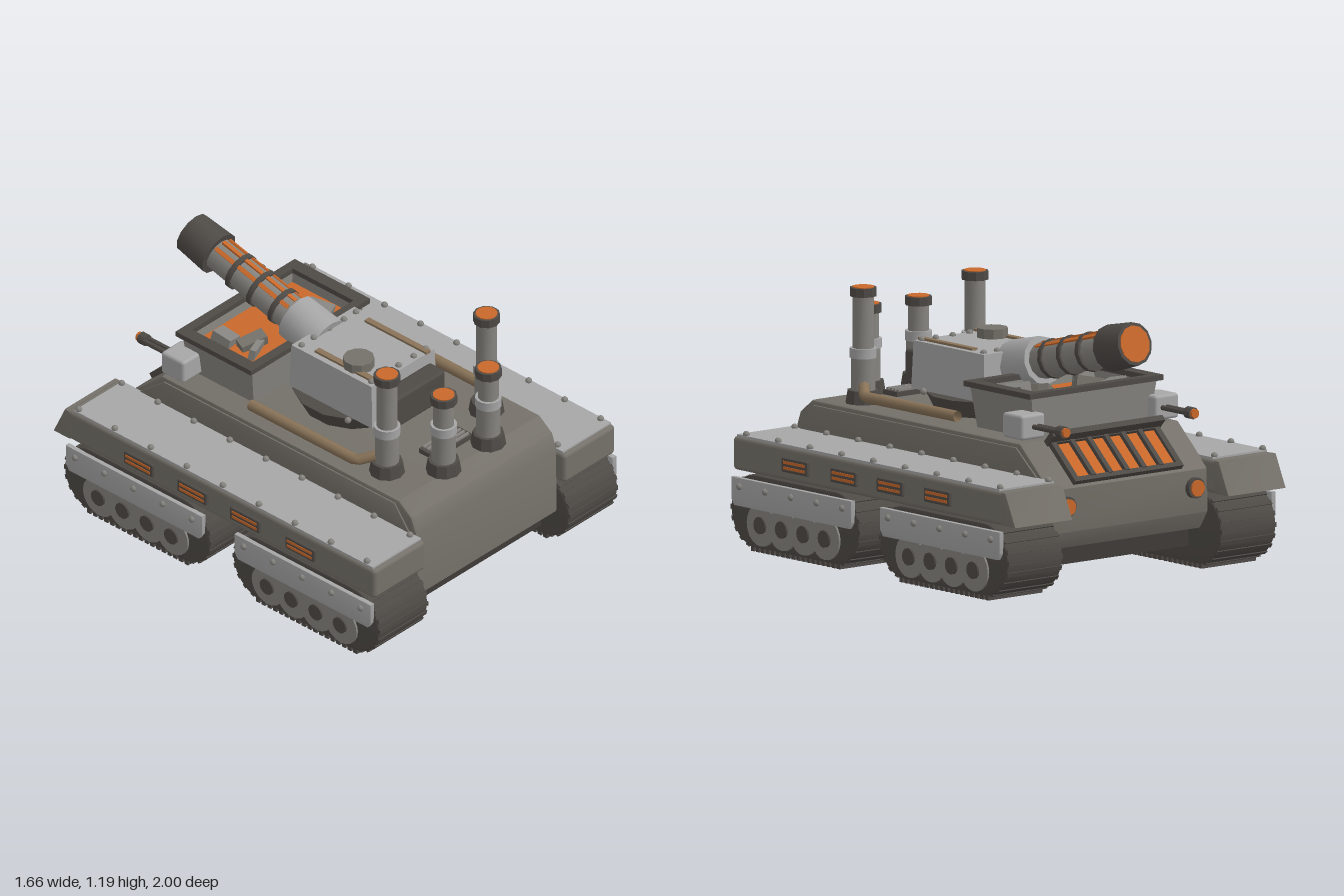
import * as THREE from 'three';
import { toCreasedNormals } from 'three/addons/utils/BufferGeometryUtils.js';
import { RoundedBoxGeometry } from 'three/addons/geometries/RoundedBoxGeometry.js';

const material = (color) => new THREE.MeshStandardMaterial({ color });
const PLATE = material(0xa6a6a6), HULL = material(0x75716a), DARK = material(0x4e4a46);
const STEEL = material(0x86847f), ORANGE = material(0xc8682a), TAN = material(0x8a7459);
const FLOOR = material(0x3e3b38);

function add(parent, name, geometry, mat, x = 0, y = 0, z = 0) {
  const mesh = new THREE.Mesh(geometry, mat);
  mesh.name = name;
  mesh.position.set(x, y, z);
  parent.add(mesh);
  return mesh;
}

function group(parent, name, x = 0, y = 0, z = 0) {
  const g = new THREE.Group();
  g.name = name;
  g.position.set(x, y, z);
  parent.add(g);
  return g;
}

const box = (w, h, d) => new THREE.BoxGeometry(w, h, d);
const soft = (w, h, d, r = 0.015) => new RoundedBoxGeometry(w, h, d, 2, r);
const cyl = (r1, r2, h, n = 14) => toCreasedNormals(new THREE.CylinderGeometry(r1, r2, h, n), 0.6);
const rivetShape = new THREE.SphereGeometry(0.016, 8, 6);
const rivet = (parent, x, y, z) => add(parent, 'rivet', rivetShape, STEEL, x, y, z);

// Side outline given as (z, y), extruded across x and centred
function across(shape, width, bevel) {
  const depth = width - 2 * bevel;
  const g = new THREE.ExtrudeGeometry(shape, {
    depth, bevelThickness: bevel, bevelSize: bevel, bevelOffset: -bevel, bevelSegments: 2, curveSegments: 10,
  });
  g.translate(0, 0, -depth / 2).rotateY(-Math.PI / 2);
  return toCreasedNormals(g, 0.6);
}

const outline = (points) => new THREE.Shape(points.map(([a, b]) => new THREE.Vector2(a, b)));

// Flat rectangular frame lying in xz, rising from y = 0
function frame(w, d, holeW, holeD, h) {
  const rect = (a, b) => [[-a / 2, -b / 2], [a / 2, -b / 2], [a / 2, b / 2], [-a / 2, b / 2]];
  const s = outline(rect(w, d));
  s.holes.push(outline(rect(holeW, holeD)));
  return new THREE.ExtrudeGeometry(s, { depth: h, bevelEnabled: false }).rotateX(-Math.PI / 2);
}

// Narrows a geometry linearly along y
function taper(geometry, y0, y1, scale0, scale1) {
  const p = geometry.attributes.position;
  for (let i = 0; i < p.count; i++) {
    const k = THREE.MathUtils.mapLinear(p.getY(i), y0, y1, scale0, scale1);
    p.setX(i, p.getX(i) * k);
    p.setZ(i, p.getZ(i) * k);
  }
  geometry.computeVertexNormals();
  return geometry;
}

function addTrack(parent, s, zc) {
  const g = group(parent, 'trackUnit', 0, 0, zc);
  const r = 0.168, half = 0.45 - r;
  const loop = new THREE.Shape();
  loop.absarc(half, 0.185, r, -Math.PI / 2, Math.PI / 2);
  loop.absarc(-half, 0.185, r, Math.PI / 2, Math.PI * 1.5);
  add(g, 'trackBelt', across(loop, 0.33, 0.015), DARK, s * 0.63);
  for (let i = 0; i < 18; i++) add(g, 'trackShoe', box(0.32, 0.022, 0.022), DARK, s * 0.63, 0.011, -0.3 + i * 0.0353);
  // Ribs around both curved ends
  for (const e of [1, -1]) for (let i = 1; i < 9; i++) {
    const a = i * Math.PI / 10;
    const rib = add(g, 'trackRib', box(0.32, 0.008, 0.022), DARK, s * 0.63, 0.185 - Math.cos(a) * r, e * (half + Math.sin(a) * r));
    rib.rotation.x = -e * a;
  }
  // Road wheels
  for (let i = 0; i < 4; i++) {
    const z = -0.225 + i * 0.15;
    add(g, 'roadWheel', cyl(0.098, 0.098, 0.03, 20), STEEL, s * 0.79, 0.13, z).rotation.z = Math.PI / 2;
    add(g, 'wheelHub', cyl(0.04, 0.04, 0.04, 12), DARK, s * 0.795, 0.13, z).rotation.z = Math.PI / 2;
  }
  // Side skirt
  const skirt = outline([[-0.4, 0.2], [0.4, 0.2], [0.42, 0.23], [0.42, 0.33], [-0.42, 0.33], [-0.42, 0.23]]);
  add(g, 'sideSkirt', across(skirt, 0.026, 0.004), PLATE, s * 0.803);
  for (let i = 0; i < 5; i++) rivet(g, s * 0.816, 0.29, -0.36 + i * 0.18);
}

function addFender(parent, s) {
  const g = group(parent, 'fender');
  add(g, 'fenderBody', soft(0.34, 0.155, 1.9, 0.02), HULL, s * 0.63, 0.435, 0.03);
  add(g, 'fenderPlate', box(0.32, 0.014, 1.84), PLATE, s * 0.63, 0.514, 0.04);
  add(g, 'mudFlap', across(outline([[-1, 0.36], [-0.9, 0.36], [-0.9, 0.51], [-0.93, 0.51]]), 0.34, 0.005), HULL, s * 0.63);
  for (let i = 0; i < 9; i++) for (const x of [0.49, 0.775]) rivet(g, s * x, 0.526, 0.91 - i * 0.222);
  for (const z of [0.53, 0.19, -0.135, -0.465]) {
    add(g, 'sideVent', soft(0.03, 0.066, 0.18, 0.006), DARK, s * 0.8, 0.432, z);
    for (const dy of [-0.013, 0.013]) add(g, 'ventGlow', box(0.01, 0.013, 0.15), ORANGE, s * 0.813, 0.432 + dy, z);
  }
}

function addStack(parent, x, z, top) {
  const g = group(parent, 'exhaustStack', x, 0, z);
  const mid = 0.89, h = top - 0.02;
  add(g, 'stackBase', cyl(0.072, 0.082, 0.06, 10), DARK, 0, 0.69);
  add(g, 'stackLower', cyl(0.056, 0.056, mid - 0.7), STEEL, 0, (mid + 0.7) / 2);
  add(g, 'stackCollar', cyl(0.061, 0.061, 0.045), PLATE, 0, mid);
  add(g, 'stackUpper', cyl(0.048, 0.048, h - mid), STEEL, 0, (mid + h) / 2);
  add(g, 'stackCap', cyl(0.062, 0.062, 0.04, 10), DARK, 0, top - 0.02);
  add(g, 'stackGlow', cyl(0.05, 0.05, 0.006), ORANGE, 0, top + 0.001);
}

function addTurret(parent) {
  const g = group(parent, 'turret');
  add(g, 'turretRing', new THREE.CylinderGeometry(0.29, 0.25, 0.08, 14).toNonIndexed(), DARK, 0, 0.7, 0.12).geometry.computeVertexNormals();
  add(g, 'turretBody', taper(box(0.43, 0.22, 0.51), -0.11, 0.11, 1, 0.97), PLATE, 0, 0.85, 0.165);
  add(g, 'turretBustle', soft(0.36, 0.16, 0.1), DARK, 0, 0.825, 0.46);
  for (const x of [-0.18, -0.1, 0, 0.1, 0.18]) for (const z of [-0.045, 0.385]) rivet(g, x, 0.962, z);
  for (const x of [-0.245, 0.245]) rivet(g, x, 0.745, 0.3);
  for (const x of [-0.165, 0.165]) add(g, 'roofStrip', box(0.03, 0.014, 0.38), TAN, x, 0.964, 0.225);
  add(g, 'hatch', cyl(0.072, 0.072, 0.045, 10), HULL, -0.12, 0.982, 0.25);

  // Cannon, built along its own y and tilted back
  const c = group(g, 'cannon', 0, 0.89, -0.075);
  c.rotation.x = -1.321;
  add(c, 'cannonCollar', cyl(0.112, 0.118, 0.2, 12), PLATE, 0, 0.08);
  add(c, 'cannonBarrel', cyl(0.077, 0.085, 0.56, 12), STEEL, 0, 0.42);
  for (const y of [0.26, 0.395, 0.53]) add(c, 'barrelRing', cyl(0.092, 0.092, 0.025, 12), DARK, 0, y);
  for (const a of [-0.6, 0, 0.6]) add(c, 'barrelGlow', box(0.02, 0.46, 0.014), ORANGE, Math.sin(a) * 0.08, 0.43, Math.cos(a) * 0.08).rotation.y = a;
  add(c, 'muzzle', cyl(0.1, 0.108, 0.17, 12), DARK, 0, 0.755);
  add(c, 'muzzleGlow', cyl(0.085, 0.085, 0.006, 12), ORANGE, 0, 0.841);
}

function addHopper(parent) {
  const g = group(parent, 'scrapHopper', 0, 0, -0.39);
  add(g, 'hopperWalls', taper(frame(0.74, 0.43, 0.67, 0.38, 0.2), 0, 0.2, 0.92, 1), STEEL, 0, 0.655);
  add(g, 'hopperRim', frame(0.79, 0.465, 0.665, 0.375, 0.025), DARK, 0, 0.85);
  add(g, 'hopperFloor', box(0.66, 0.03, 0.375), ORANGE, 0, 0.79);
  const scrap = [[-0.23, -0.08, 0.08, 0.1, 0.1], [-0.17, 0.03, 0.13, 0.06, -0.3], [-0.19, 0.08, 0.16, 0.03, 0.4],
    [0.14, -0.05, 0.16, 0.05, 0.7], [0.22, 0.08, 0.1, 0.12, 0.4], [0.13, 0.04, 0.14, 0.03, -0.8]];
  scrap.forEach(([x, z, w, d, a], i) => {
    add(g, 'scrapPiece', box(w, 0.05, d), i % 2 ? HULL : STEEL, x, 0.83, z).rotation.set(0.2, a, i % 2 ? 0.25 : -0.2);
  });
}

function addGrille(parent) {
  // Lies on the sloped rear plate: local y is outward, local z is up the slope
  const g = group(parent, 'rearGrille', 0, 0.565, -0.745);
  g.rotation.x = -0.735;
  add(g, 'grilleFrame', frame(0.64, 0.25, 0.58, 0.2, 0.025), DARK);
  add(g, 'grilleGlow', box(0.58, 0.012, 0.2), ORANGE, 0, 0.004);
  for (let i = -2; i <= 2; i++) add(g, 'grilleBar', box(0.025, 0.035, 0.21), DARK, i * 0.1, 0.012);
  add(g, 'grilleHood', box(0.66, 0.08, 0.03), DARK, 0, 0.03, 0.12);
}

export function createModel() {
  const model = new THREE.Group();
  model.name = 'battleTank';

  // Hull
  const side = outline([[0.93, 0.19], [0.93, 0.52], [0.9, 0.6], [0.82, 0.66], [-0.64, 0.66], [-0.85, 0.47], [-0.85, 0.27], [-0.8, 0.19]]);
  add(model, 'hull', across(side, 0.94, 0.015), HULL);
  add(model, 'belly', box(0.82, 0.11, 1.66), FLOOR, 0, 0.165, 0.05);
  const vent = group(model, 'deckVent', 0, 0.67, 0.675);
  add(vent, 'ventBase', box(0.25, 0.025, 0.1), DARK);
  for (let i = 0; i < 4; i++) add(vent, 'ventSlat', box(0.22, 0.02, 0.012), STEEL, 0, 0.012, -0.036 + i * 0.024);

  // Mirrored parts
  for (const s of [1, -1]) {
    addFender(model, s);
    addTrack(model, s, 0.55);
    addTrack(model, s, -0.49);
    addStack(model, s * 0.33, 0.62, 1.19);
    addStack(model, s * 0.148, 0.8, 1.07);
    // Sloped cheek between fender and deck
    const cheek = outline([[0.9, 0.51], [0.8, 0.64], [-0.62, 0.64], [-0.78, 0.51]]);
    add(model, 'hullCheek', across(cheek, 0.03, 0.005), HULL, s * 0.462);

    const pipe = new THREE.CurvePath();
    const p = [[0.415, 0.71, -0.14], [0.415, 0.71, 0.51], [0.35, 0.745, 0.59]].map(([x, y, z]) => new THREE.Vector3(s * x, y, z));
    pipe.add(new THREE.LineCurve3(p[0], p[1]));
    pipe.add(new THREE.LineCurve3(p[1], p[2]));
    add(model, 'exhaustPipe', new THREE.TubeGeometry(pipe, 24, 0.026, 8), TAN).material = Object.assign(TAN.clone(), { side: THREE.DoubleSide });

    // Rear-facing gun and its mount
    const gun = group(model, 'sideGun', s * 0.38, 0.73, -0.58);
    add(gun, 'gunMount', soft(0.14, 0.115, 0.14), PLATE, s * 0.015);
    for (const dx of [-0.014, 0.014]) add(gun, 'gunBarrel', cyl(0.012, 0.012, 0.22, 8), DARK, dx, 0, -0.16).rotation.x = Math.PI / 2;
    add(gun, 'gunMuzzle', cyl(0.028, 0.028, 0.04, 10), DARK, 0, 0, -0.25).rotation.x = Math.PI / 2;
    add(gun, 'gunGlow', cyl(0.022, 0.022, 0.02, 10), ORANGE, 0, 0, -0.275).rotation.x = Math.PI / 2;

    add(model, 'lampRim', cyl(0.048, 0.048, 0.03), DARK, s * 0.38, 0.39, -0.86).rotation.x = Math.PI / 2;
    add(model, 'lampLens', cyl(0.038, 0.038, 0.03), ORANGE, s * 0.38, 0.39, -0.87).rotation.x = Math.PI / 2;
  }

  addTurret(model);
  addHopper(model);
  addGrille(model);
  return model;
}
